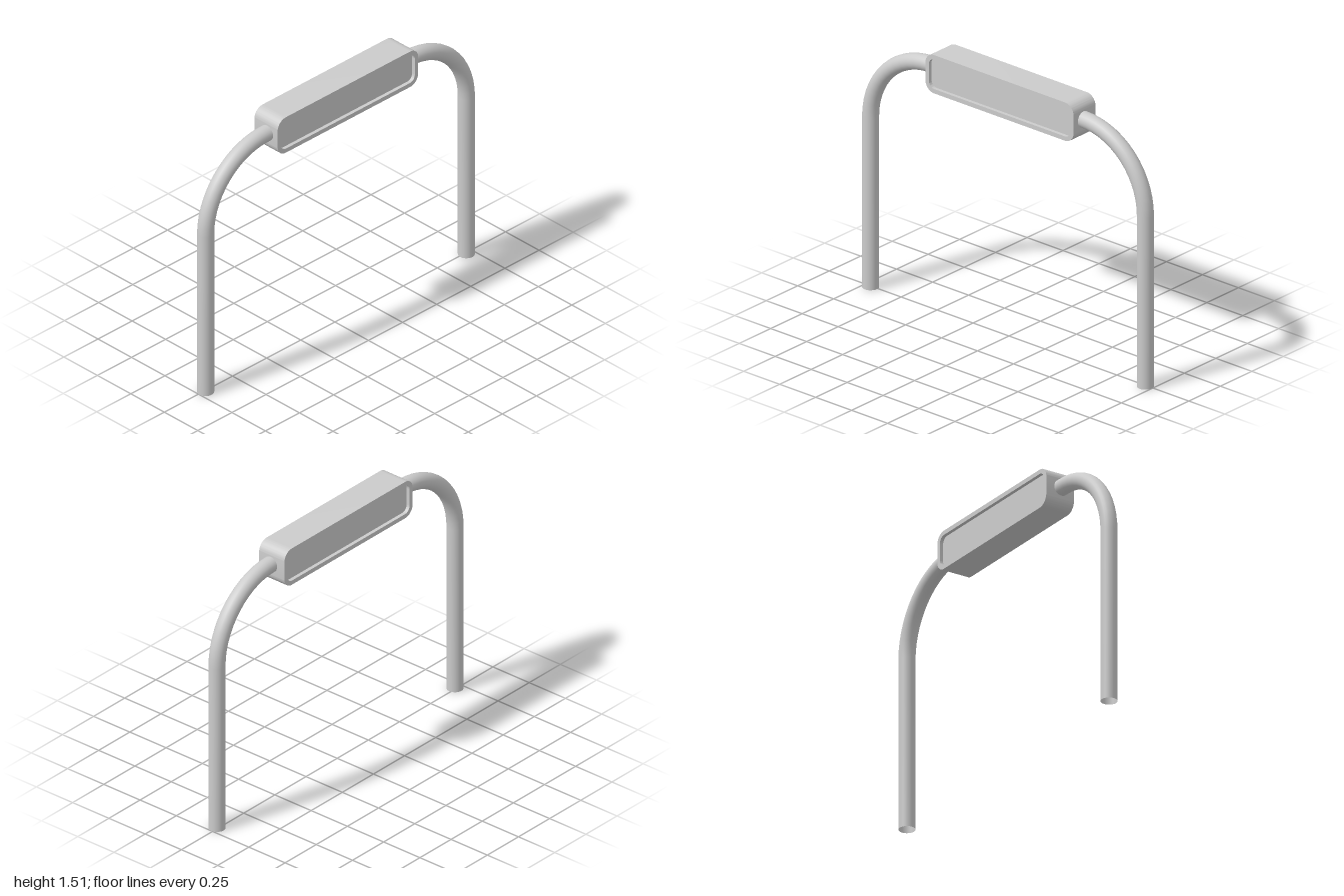
import * as THREE from 'three';
import { toCreasedNormals } from 'three/addons/utils/BufferGeometryUtils.js';

const material = new THREE.MeshStandardMaterial({ color: 0xcccccc });
const tubeMaterial = new THREE.MeshStandardMaterial({ color: 0xcccccc, side: THREE.DoubleSide });

// Rounded rectangle centred on the origin
function roundedRect(Type, w, h, r) {
  const x = w / 2 - r, y = h / 2 - r;
  const s = new Type();
  s.absarc(x, y, r, 0, Math.PI / 2);
  s.absarc(-x, y, r, Math.PI / 2, Math.PI);
  s.absarc(-x, -y, r, Math.PI, Math.PI * 1.5);
  s.absarc(x, -y, r, Math.PI * 1.5, Math.PI * 2);
  s.closePath();
  return s;
}

// Extrusion centred on z = 0 with smooth corners
function slab(name, shape, depth) {
  const geometry = new THREE.ExtrudeGeometry(shape, { depth, bevelEnabled: false, curveSegments: 8 });
  geometry.translate(0, 0, -depth / 2);
  const mesh = new THREE.Mesh(toCreasedNormals(geometry, 0.6), material);
  mesh.name = name;
  return mesh;
}

export function createModel() {
  const model = new THREE.Group();
  model.name = 'barrierFrame';

  // Bent pipe: leg, quarter bend, crossbar, quarter bend, leg
  const legX = 0.955, barY = 1.405, bend = 0.425, pipeRadius = 0.045;
  const points = [new THREE.Vector3(-legX, 0, 0)];
  const steps = 14;
  for (const side of [-1, 1]) {
    for (let i = 0; i <= steps; i++) {
      const t = (side < 0 ? i : steps - i) / steps * Math.PI / 2;
      points.push(new THREE.Vector3(
        side * (legX - bend + bend * Math.cos(t)), barY - bend + bend * Math.sin(t), 0));
    }
  }
  points.push(new THREE.Vector3(legX, 0, 0));

  // Open-ended tube with one ring per path point, mitred at each bend step
  const sides = 24, position = [], normal = [], index = [];
  points.forEach((p, i) => {
    const a = points[Math.max(i - 1, 0)], b = points[Math.min(i + 1, points.length - 1)];
    const inDir = (i ? p.clone().sub(a) : b.clone().sub(p)).normalize();
    const outDir = (i < points.length - 1 ? b.clone().sub(p) : p.clone().sub(a)).normalize();
    const dir = inDir.add(outDir).normalize();
    for (let j = 0; j <= sides; j++) {
      const t = j / sides * Math.PI * 2;
      const n = [-dir.y * Math.cos(t), dir.x * Math.cos(t), Math.sin(t)];
      position.push(p.x + n[0] * pipeRadius, p.y + n[1] * pipeRadius, n[2] * pipeRadius);
      normal.push(...n);
      if (i < points.length - 1 && j < sides) {
        const k = i * (sides + 1) + j, m = k + sides + 1;
        index.push(k, m, k + 1, m, m + 1, k + 1);
      }
    }
  });
  const pipeGeometry = new THREE.BufferGeometry();
  pipeGeometry.setAttribute('position', new THREE.Float32BufferAttribute(position, 3));
  pipeGeometry.setAttribute('normal', new THREE.Float32BufferAttribute(normal, 3));
  pipeGeometry.setIndex(index);
  const pipe = new THREE.Mesh(pipeGeometry, tubeMaterial);
  pipe.name = 'bentPipe';
  pipe.position.z = 0.008;
  model.add(pipe);

  // Sign box: rounded casing with a recessed panel front and back
  const sign = new THREE.Group();
  sign.name = 'signBox';
  sign.position.set(0.01, 1.4, 0);
  const outline = roundedRect(THREE.Shape, 1.03, 0.22, 0.06);
  outline.holes.push(roundedRect(THREE.Path, 0.98, 0.17, 0.036));
  sign.add(slab('signCasing', outline, 0.174));
  sign.add(slab('signPanel', roundedRect(THREE.Shape, 0.98, 0.17, 0.036), 0.134));
  model.add(sign);

  return model;
}
